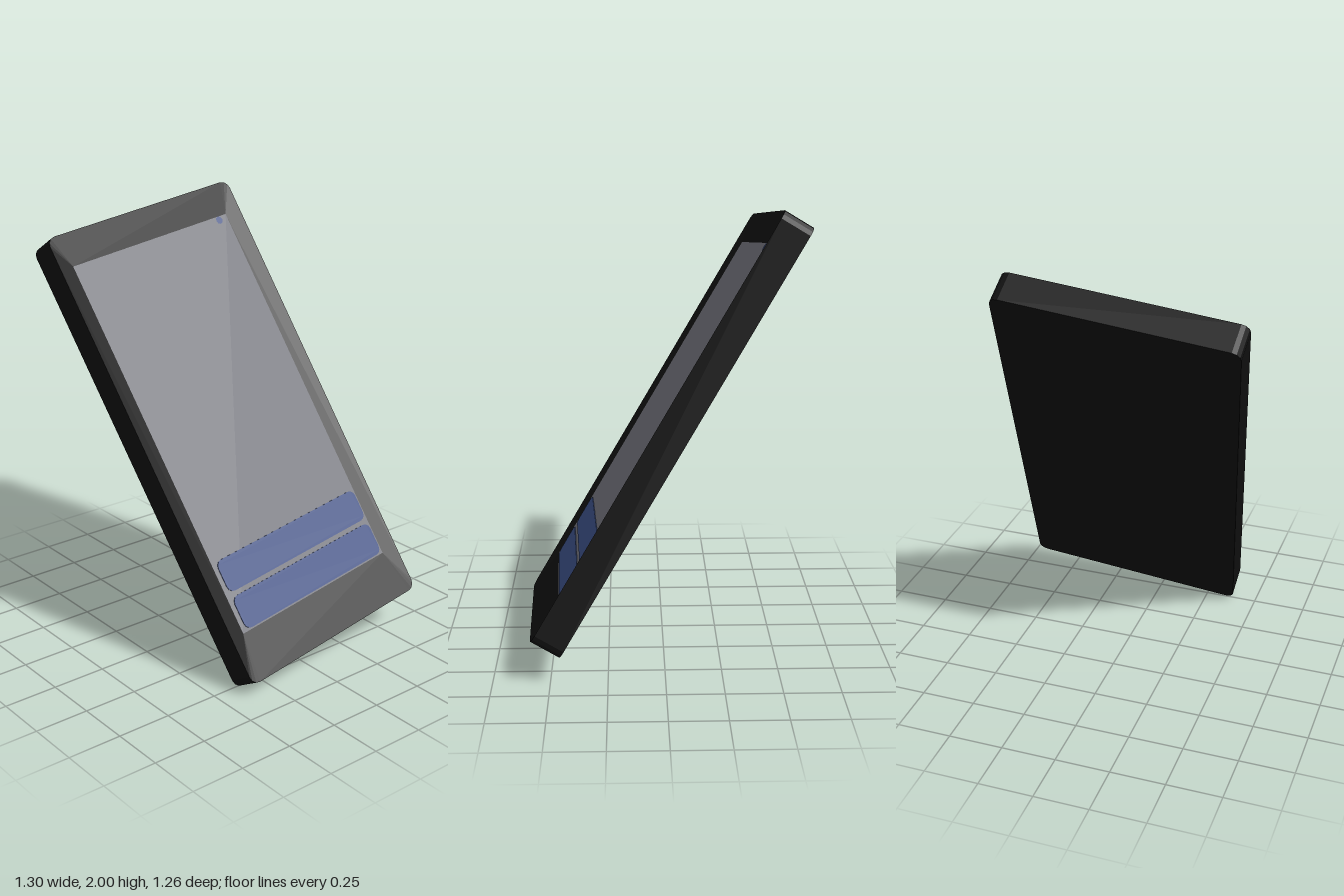
import * as THREE from 'three';

// half width, half height, half thickness of the case, and depth of the screen plane
const W = 0.524, L = 1.067, T = 0.072, SCREEN_Z = 0.054;
const SCREEN = { x0: -0.448, x1: 0.448, y0: -0.852, y1: 0.919 };
const CORNER = 0.04, STEPS = 3;

const black = new THREE.MeshStandardMaterial({ color: 0x101010 });
black.name = 'black case';
const grey = new THREE.MeshStandardMaterial({ color: 0x71727a });
grey.name = 'grey screen';
const blue = new THREE.MeshStandardMaterial({ color: 0x3b4f86 });
blue.name = 'blue icons';

function mesh(name, geometry, material) {
  const m = new THREE.Mesh(geometry, material);
  m.name = name;
  return m;
}

// counter-clockwise ring of a rectangle whose corners are rounded by r
function ring(x0, x1, y0, y1, r, z) {
  const corners = [[x1 - r, y1 - r], [x0 + r, y1 - r], [x0 + r, y0 + r], [x1 - r, y0 + r]];
  const points = [];
  corners.forEach(([cx, cy], i) => {
    for (let k = 0; k <= STEPS; k++) {
      const t = (i + k / STEPS) * Math.PI / 2;
      points.push([cx + r * Math.cos(t), cy + r * Math.sin(t), z]);
    }
  });
  return points;
}

// case: flat back, straight sides, and a bezel sloping gently in to the screen
function caseGeometry() {
  const back = ring(-W, W, -L, L, CORNER, -T);
  const front = ring(-W, W, -L, L, CORNER, T);
  const inner = ring(SCREEN.x0, SCREEN.x1, SCREEN.y0, SCREEN.y1, 0, SCREEN_Z);
  const rings = [back.map(() => [0, 0, -T]), back, front, inner];
  const n = back.length, pos = [];
  for (let j = 0; j < rings.length - 1; j++) {
    for (let i = 0; i < n; i++) {
      const k = (i + 1) % n;
      const a = rings[j][i], b = rings[j][k], c = rings[j + 1][k], d = rings[j + 1][i];
      if (j > 0) pos.push(...a, ...b, ...c);
      pos.push(...a, ...c, ...d);
    }
  }
  const g = new THREE.BufferGeometry();
  g.setAttribute('position', new THREE.Float32BufferAttribute(pos, 3));
  g.computeVertexNormals();
  return g;
}

// thin rounded bar lying on the screen
function bar(name, y0, y1) {
  const outline = ring(-0.425, 0.441, y0, y1, 0.032, 0).map(([x, y]) => new THREE.Vector2(x, y));
  const g = new THREE.ExtrudeGeometry(new THREE.Shape(outline), { depth: 0.003, bevelEnabled: false });
  const m = mesh(name, g, blue);
  m.position.z = SCREEN_Z;
  return m;
}

export function createModel() {
  const device = new THREE.Group();
  device.name = 'handheldDevice';

  device.add(mesh('case', caseGeometry(), black));

  const screen = mesh('screen', new THREE.PlaneGeometry(SCREEN.x1 - SCREEN.x0, SCREEN.y1 - SCREEN.y0), grey);
  screen.position.set(0, (SCREEN.y0 + SCREEN.y1) / 2, SCREEN_Z);
  device.add(screen);

  device.add(bar('lowerBar', -0.845, -0.69), bar('upperBar', -0.668, -0.518));

  const dot = mesh('statusDot', new THREE.CircleGeometry(0.019, 8), blue);
  dot.position.set(0.396, 0.9, SCREEN_Z + 0.003);
  device.add(dot);

  // lean the device back and turn it a little in its own plane
  const up = new THREE.Vector3(-0.127, 0.85, -0.511).normalize();
  const side = new THREE.Vector3(0.992, 0.115, -0.042);
  const normal = side.clone().cross(up).normalize();
  side.crossVectors(up, normal);
  device.quaternion.setFromRotationMatrix(new THREE.Matrix4().makeBasis(side, up, normal));
  device.position.y = 1;

  const model = new THREE.Group();
  model.name = 'model';
  model.add(device);
  return model;
}
